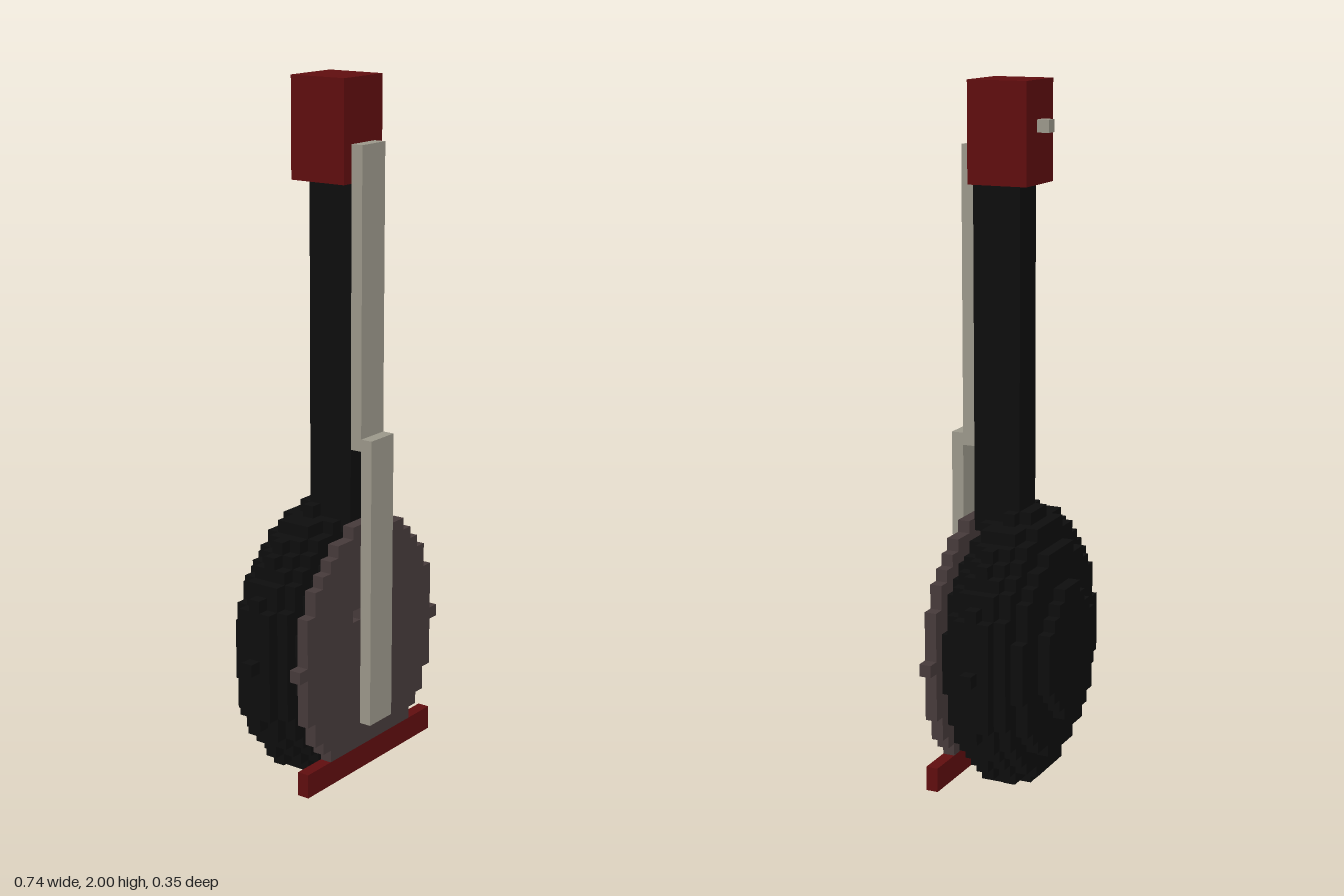
import * as THREE from 'three';
import { mergeGeometries } from 'three/addons/utils/BufferGeometryUtils.js';

const V = 2 / 57; // size of one block
const MID = 11;   // middle row of the round body

// Half-width in blocks of an ellipse at a row offset; -1 when the row is empty
function halfWidth(dy, rx, ry, depthTerm) {
  for (let x = Math.floor(rx); x >= 0; x--) {
    if ((x * x) / (rx * rx) + (dy * dy) / (ry * ry) + depthTerm <= 1) return x + 0.5;
  }
  return -1;
}

// Stepped outline of an ellipse, one step per row of blocks
function steppedShape(rx, ry, depthTerm, firstRow = 0) {
  const right = [];
  for (let row = firstRow; row <= 2 * MID; row++) {
    const w = halfWidth(row - MID, rx, ry, depthTerm);
    if (w < 0) continue;
    right.push(new THREE.Vector2(w * V, row * V), new THREE.Vector2(w * V, (row + 1) * V));
  }
  const pts = right.concat(right.slice().reverse().map((p) => new THREE.Vector2(-p.x, p.y)));
  return new THREE.Shape(pts.filter((p, i) => i === 0 || !p.equals(pts[i - 1])));
}

// One block-thick slab starting at block depth z
function slab(shape, z) {
  const g = new THREE.ExtrudeGeometry(shape, { depth: V, bevelEnabled: false });
  g.translate(0, 0, z * V);
  return g;
}

export function createModel() {
  const group = new THREE.Group();
  const mat = (name, color) => {
    const m = new THREE.MeshStandardMaterial({ color });
    m.name = name;
    return m;
  };
  const black = mat('black', 0x0d0d0d);
  const red = mat('darkRed', 0x5f0d0e);
  const brown = mat('greyBrown', 0x463a3a);
  const bone = mat('bone', 0x9b978a);

  const add = (name, geometry, material) => {
    const mesh = new THREE.Mesh(geometry, material);
    mesh.name = name;
    group.add(mesh);
  };
  // Box centred on x, given in block units
  const box = (name, half, y0, y1, z0, z1, material) => {
    const g = new THREE.BoxGeometry(2 * half * V, (y1 - y0) * V, (z1 - z0) * V);
    g.translate(0, ((y0 + y1) / 2) * V, ((z0 + z1) / 2) * V);
    add(name, g, material);
  };

  // Rounded bowl made of stepped slabs
  const layers = [];
  for (let d = -4; d <= 3; d++) {
    layers.push(slab(steppedShape(10, 11.5, (d * d) / 20.25), d - 1));
  }
  add('bowl', mergeGeometries(layers), black);

  // Face plate with two small sound holes
  const face = steppedShape(9, 10.5, 0, 3);
  for (const side of [-1, 1]) {
    const x = side * 2 * V, h = V / 2;
    face.holes.push(new THREE.Path([
      new THREE.Vector2(x - h, 14 * V), new THREE.Vector2(x - h, 15 * V),
      new THREE.Vector2(x + h, 15 * V), new THREE.Vector2(x + h, 14 * V),
    ]));
  }
  add('facePlate', slab(face, 3), brown);

  // Neck, head and bottom bar
  box('neck', 1.5, 21, 49, -1, 3, black);
  box('head', 2.5, 49, 57, -2, 3, red);
  box('bottomBar', 8.5, 1, 3, 3, 4, red);

  // Strings in two overlapping strips, and the peg behind the head
  box('upperStrings', 1.5, 28, 52, 3, 4, bone);
  box('lowerStrings', 1.5, 5, 29, 4, 5, bone);
  box('peg', 0.5, 53, 54, -3, -2, bone);

  return group;
}
